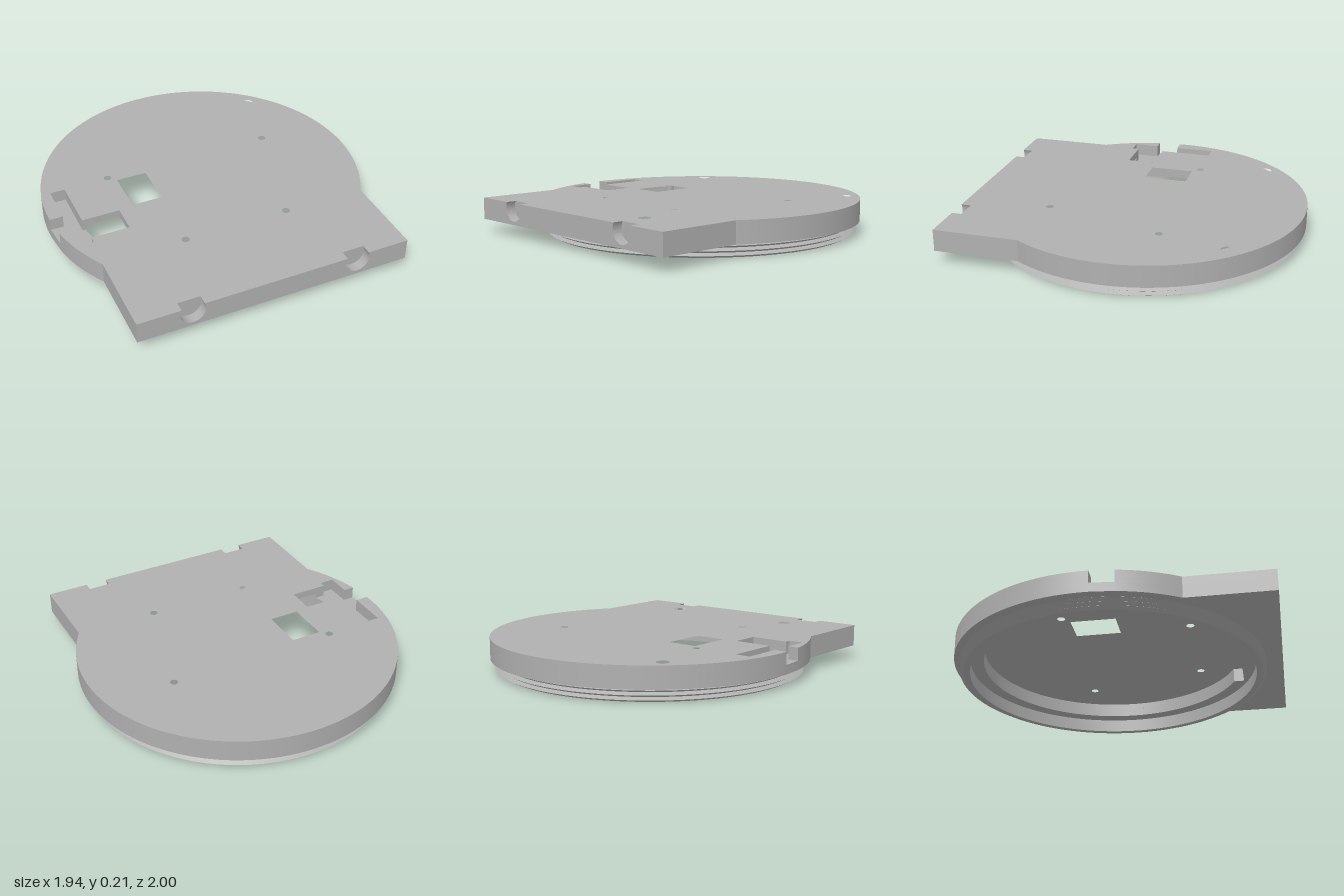
import * as THREE from 'three';
import { toCreasedNormals } from 'three/addons/utils/BufferGeometryUtils.js';

const PI = Math.PI;
const CZ = -0.03; // centre of the round body
const R = 0.97, RECESS = 0.79;

// Points [x, z] along an arc
function arc(r, a0, a1, cx = 0, cz = CZ) {
  const n = Math.max(2, Math.ceil(Math.abs(a1 - a0) / 0.05));
  return Array.from({ length: n + 1 }, (_, i) => {
    const a = a0 + ((a1 - a0) * i) / n;
    return [cx + r * Math.cos(a), cz + r * Math.sin(a)];
  });
}

const circle = (x, z, r) => arc(r, 0, PI * 2, x, z).slice(0, -1);
const toVectors = (pts) => pts.map(([x, z]) => new THREE.Vector2(x, -z));

// Horizontal slab from a plan outline with holes
function slab(outline, holes, y0, y1) {
  const shape = new THREE.Shape(toVectors(outline));
  holes.forEach((h) => shape.holes.push(new THREE.Path(toVectors(h))));
  const geo = new THREE.ExtrudeGeometry(shape, { depth: y1 - y0, bevelEnabled: false });
  geo.rotateX(-PI / 2).translate(0, y0, 0);
  return toCreasedNormals(geo, 0.4);
}

// Round recess with a squared pocket at the front
function recess(a0, a1) {
  const k = Math.acos(0.33 / RECESS);
  return [
    ...arc(RECESS, a0, PI - k), [-0.33, 0.75], [0.33, 0.75], ...arc(RECESS, k, a1),
  ];
}

// Round body and straight front tab, starting and ending at the side notch
function bodyOutline() {
  const j = Math.acos(0.82 / R);
  return [
    ...arc(R, PI - 0.031, 2 * PI + j), [0.82, 0.94], [-0.82, 0.94], ...arc(R, PI - j, PI - 0.176),
  ];
}

// Side slot and notch, joined to an inner opening
const slotted = (inner) => [
  ...bodyOutline(),
  [-0.89, 0.14], [-0.89, 0.29], [-0.8, 0.29], [-0.8, 0.25],
  ...inner,
  [-0.8, 0.08], [-0.8, -0.24], [-0.89, -0.24], [-0.89, 0],
];

export function createModel() {
  const model = new THREE.Group();
  const grey = new THREE.MeshStandardMaterial({ color: 0xb0b0b0 });
  grey.name = 'plain grey';
  const add = (name, geo) => {
    const mesh = new THREE.Mesh(geo, grey);
    mesh.name = name;
    model.add(mesh);
    return mesh;
  };

  // Hole positions
  const blind = [[-0.625, -0.655], [0.625, -0.655], [-0.43, 0.785], [0.43, 0.785]]
    .map(([x, z]) => circle(x, z, 0.037));
  const screws = [[-0.525, -0.245], [0.525, -0.245], [-0.32, 0.48], [0.32, 0.48]]
    .map(([x, z]) => circle(x, z, 0.023));
  const opening = [[-0.48, -0.2], [-0.295, -0.2], [-0.295, 0.065], [-0.48, 0.065]];

  // Body layers
  add('topPlate', slab(slotted([[-0.57, 0.25], [-0.57, 0.08]]),
    [...blind, ...screws, opening], 0.165, 0.21));
  add('slotLayer', slab(slotted(recess(PI - 0.362, -PI - 0.14)), blind, 0.135, 0.165));
  add('rimLayer', slab(bodyOutline(), [recess(PI, -PI).slice(0, -1)], 0.08, 0.135));

  // Front edge with two round sockets open at the top
  const a = Math.asin(0.035 / 0.075);
  const edge = [[-0.82, 0.08], [0.82, 0.08], [0.82, 0.21]];
  for (const x of [0.5, -0.5]) edge.push(...arc(0.075, a, -PI - a, x, 0.175));
  edge.push([-0.82, 0.21]);
  const front = new THREE.ExtrudeGeometry(
    new THREE.Shape(edge.map(([x, y]) => new THREE.Vector2(x, y))),
    { depth: 0.06, bevelEnabled: false },
  );
  add('frontEdge', toCreasedNormals(front.translate(0, 0, 0.94), 0.4));

  // Threaded collar under the body
  const profile = [[0.87, 0.08], [0.87, 0], [0.908, 0]];
  for (let i = 0; i < 3; i++) {
    profile.push([0.932, 0.013 + i * 0.0267], [0.908, 0.0267 * (i + 1)]);
  }
  const collar = new THREE.LatheGeometry(profile.map(([r, y]) => new THREE.Vector2(r, y)), 128);
  add('threadedCollar', toCreasedNormals(collar, 0.4)).position.z = CZ;

  // Sloped ramp inside the recess
  const wedge = new THREE.Shape([
    new THREE.Vector2(0.62, 0.166), new THREE.Vector2(0.8, 0.085), new THREE.Vector2(0.8, 0.166),
  ]);
  const ramp = new THREE.ExtrudeGeometry(wedge, { depth: 0.32, bevelEnabled: false });
  ramp.translate(0, 0, -0.16).rotateY(-2.38).translate(0, 0, CZ);
  add('innerRamp', ramp);

  return model;
}
